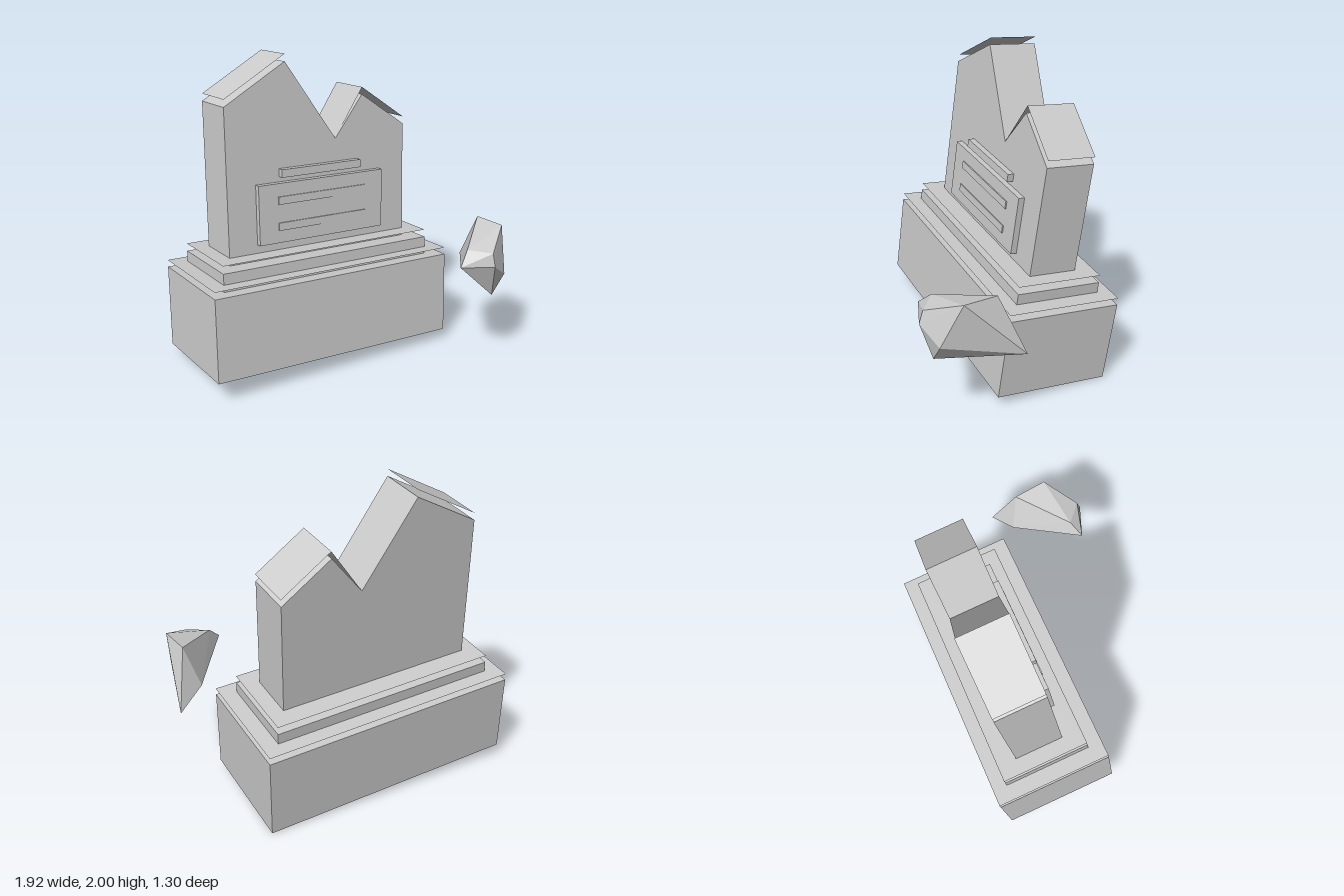
import * as THREE from 'three';
import { ConvexGeometry } from 'three/addons/geometries/ConvexGeometry.js';

export function createModel() {
  const model = new THREE.Group();
  const stone = new THREE.MeshStandardMaterial({ color: 0xcccccc });
  stone.name = 'greyStone';
  stone.flatShading = true;
  const sheet = stone;
  sheet.side = THREE.DoubleSide;

  // The monument leans back and to one side
  const monument = new THREE.Group();
  monument.name = 'leaningMonument';
  monument.rotation.set(-0.1, 0, -0.05);
  monument.position.set(-0.135, 0.08, -0.2225);
  model.add(monument);

  const add = (name, geometry, parent = monument) => {
    const mesh = new THREE.Mesh(geometry, stone);
    mesh.name = name;
    parent.add(mesh);
    return mesh;
  };
  // Box given by its width and its y and z ranges
  const block = (name, w, y0, y1, z0, z1) =>
    add(name, new THREE.BoxGeometry(w, y1 - y0, z1 - z0)
      .translate(0, (y0 + y1) / 2, (z0 + z1) / 2));
  // Thin sheet spanning two profile points, from -d to +d in z
  const slab = (name, [x0, y0], [x1, y1], d) => {
    const g = new THREE.BufferGeometry();
    g.setAttribute('position', new THREE.Float32BufferAttribute(
      [x0, y0, d, x1, y1, d, x1, y1, -d, x0, y0, -d], 3));
    g.setIndex([0, 1, 2, 0, 2, 3]);
    g.computeVertexNormals();
    return add(name, g);
  };

  // Stepped plinth, each step with a loose sheet above it
  block('base', 1.66, 0, 0.533, -0.372, 0.372);
  slab('baseCap', [-0.83, 0.578], [0.83, 0.578], 0.372);
  block('step', 1.46, 0.533, 0.647, -0.28, 0.28);
  slab('stepCap', [-0.73, 0.696], [0.73, 0.696], 0.28);

  // Headstone with a broken, two-peaked top
  const half = 0.157;
  const top = [[0.631, 1.402], [0.32, 1.617], [0.122, 1.356], [-0.223, 1.857], [-0.631, 1.616]];
  const outline = [[-0.631, 0.647], [0.631, 0.647], ...top];
  const shape = new THREE.Shape(outline.map(([x, y]) => new THREE.Vector2(x, y)));
  add('headstone', new THREE.ExtrudeGeometry(shape, { depth: half * 2, bevelEnabled: false })
    .translate(0, 0, -half));

  // Loose sheets above the slopes
  const lift = ([x, y]) => [x + 0.002, y + 0.045];
  slab('rightSlopeCap', lift(top[1]), lift(top[0]), half);
  slab('notchCap', top[2], lift(top[1]), half);
  slab('leftSlopeCap', lift(top[4]), lift(top[3]), half);

  // Plaque with raised bars
  block('plaque', 0.882, 0.751, 1.127, half, 0.196);
  block('upperBar', 0.56, 1.16, 1.21, half, 0.198);
  for (const y of [0.83, 0.995]) block('plaqueLine', 0.62, y, y + 0.049, 0.196, 0.204);

  // Faceted rock beside the base
  const rock = [
    [0.485, 0.743, 0.57], [0.955, 0.535, 0.105], [0.883, 0.907, 0.465], [0.86, 0.9, 0.25],
    [0.73, 0.505, 0.585], [0.825, 0.63, 0.585], [0.69, 0.73, 0.65], [0.69, 0.812, 0.625],
    [0.775, 0.64, 0.19], [0.57, 0.825, 0.52],
  ];
  add('rock', new ConvexGeometry(rock.map((p) => new THREE.Vector3(...p))), model);

  return model;
}
